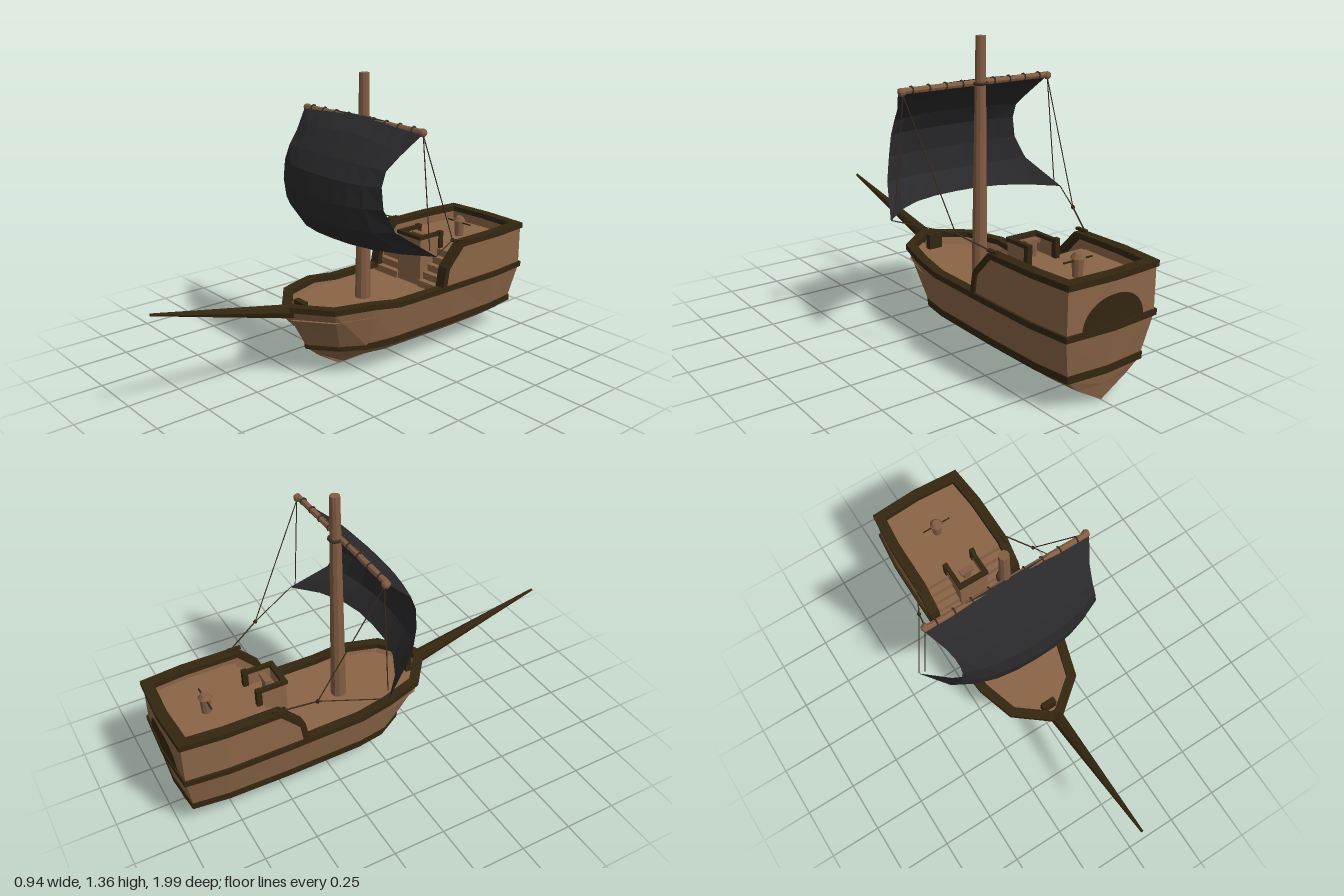
import * as THREE from 'three';

const mat = (name, color, side = THREE.FrontSide) => {
  const m = new THREE.MeshStandardMaterial({ color, side, flatShading: true });
  m.name = name;
  return m;
};
const V = (x, y, z) => new THREE.Vector3(x, y, z);
const mirror = (p) => V(-p.x, p.y, p.z);

// Surface through rows of points
function grid(rows) {
  const w = rows[0].length, pos = [], idx = [];
  rows.forEach((r) => r.forEach((p) => pos.push(p.x, p.y, p.z)));
  for (let i = 0; i < rows.length - 1; i++) {
    for (let j = 0; j < w - 1; j++) {
      const a = i * w + j, b = a + w;
      idx.push(a, a + 1, b + 1, a, b + 1, b);
    }
  }
  const g = new THREE.BufferGeometry();
  g.setAttribute('position', new THREE.Float32BufferAttribute(pos, 3));
  g.setIndex(idx);
  const flat = g.toNonIndexed();
  flat.computeVertexNormals();
  return flat;
}

// Rectangular moulding swept along a path, mitred at the corners
function band(path, out, inn, h, closed) {
  const n = path.length;
  const rows = path.map((p, i) => {
    const prev = closed ? path[(i + n - 1) % n] : path[Math.max(i - 1, 0)];
    const next = closed ? path[(i + 1) % n] : path[Math.min(i + 1, n - 1)];
    const t1 = p.clone().sub(prev).normalize(), t2 = next.clone().sub(p).normalize();
    const t = t1.add(t2).normalize();
    const side = V(t.z, 0, -t.x).normalize();
    const up = t.clone().cross(side);
    const d = next.clone().sub(p).setY(0).normalize();
    const cos = Math.max(0.6, d.lengthSq() ? Math.abs(d.x * side.z - d.z * side.x) : 1);
    return [[out, 0], [out, h], [-inn, h], [-inn, 0], [out, 0]].map(([s, u]) =>
      p.clone().addScaledVector(side, s / cos).addScaledVector(up, u));
  });
  if (closed) rows.push(rows[0]);
  return grid(rows);
}

// Flat deck from a half outline
function deckGeometry(half, y, scale) {
  const pts = [...half, ...half.slice().reverse().map(mirror)];
  const s = new THREE.Shape(pts.map((p) => new THREE.Vector2(p.x * scale, -p.z * scale)));
  return new THREE.ShapeGeometry(s).rotateX(-Math.PI / 2).translate(0, y, 0);
}

export function createModel() {
  const root = new THREE.Group();
  root.name = 'sailingShip';
  const wood = mat('plankWood', 0x8a6546, THREE.DoubleSide);
  const spar = mat('sparWood', 0x835d42);
  const dark = mat('darkTrim', 0x33260f, THREE.DoubleSide);
  const cloth = mat('blackSail', 0x29292b, THREE.DoubleSide);
  const rope = mat('rope', 0x3a2c20);

  const add = (name, geo, m, parent = root) => {
    const mesh = new THREE.Mesh(geo, m);
    mesh.name = name;
    parent.add(mesh);
    return mesh;
  };
  const box = (name, x0, x1, y0, y1, z0, z1, m) =>
    add(name, new THREE.BoxGeometry(x1 - x0, y1 - y0, z1 - z0)
      .translate((x0 + x1) / 2, (y0 + y1) / 2, (z0 + z1) / 2), m);
  const rod = (name, a, b, ra, rb, sides, m) => {
    const d = b.clone().sub(a);
    const mesh = add(name, new THREE.CylinderGeometry(rb, ra, d.length(), sides), m);
    mesh.position.copy(a).add(b).multiplyScalar(0.5);
    mesh.quaternion.setFromUnitVectors(V(0, 1, 0), d.normalize());
    return mesh;
  };
  const bothSides = (name, geo, m) => {
    add(name + 'Left', geo, m);
    add(name + 'Right', geo, m).scale.x = -1;
  };

  // Hull: waterlines from stern centre, along one side, to the stem
  const line = (y, pts) => pts.map(([x, z], i) => V(x, Array.isArray(y) ? y[i] : y, z));
  const keel = line(0, [-0.93, -0.92, -0.78, -0.5, -0.13, -0.05, 0, 0.03, 0.03].map((z) => [0, z]));
  const chine = line(0.075, [[0, -0.945], [0.13, -0.93], [0.145, -0.78], [0.15, -0.5],
    [0.145, -0.13], [0.12, -0.02], [0.06, 0.07], [0.01, 0.14], [0, 0.15]]);
  const wale = line(0.13, [[0, -0.955], [0.19, -0.94], [0.21, -0.78], [0.215, -0.5],
    [0.21, -0.13], [0.19, 0], [0.12, 0.12], [0.02, 0.205], [0, 0.215]]);
  const sheer = line([0.32, 0.32, 0.32, 0.32, 0.32, 0.342, 0.342, 0.342, 0.342],
    [[0, -0.985], [0.23, -0.97], [0.25, -0.78], [0.25, -0.5],
      [0.245, -0.13], [0.235, 0.02], [0.18, 0.2], [0.03, 0.32], [0, 0.33]]);
  bothSides('hull', grid(keel.map((_, i) => [keel[i], chine[i], wale[i], sheer[i]])), wood);
  const loop = (half) => [...half, ...half.slice(1, -1).reverse().map(mirror)];
  add('lowerWale', band(loop(wale), 0.01, 0.01, 0.032, true), dark);
  add('sheerRail', band(loop(sheer), 0.01, 0.035, 0.026, true), dark);
  add('mainDeck', deckGeometry(sheer, 0.3, 0.975), wood);

  // Raised stern: walls, sloping rail and deck
  const castleTop = [V(0, 0.525, -0.985), V(0.23, 0.525, -0.972), V(0.248, 0.525, -0.78),
    V(0.248, 0.525, -0.53), V(0.248, 0.43, -0.44), V(0.248, 0.34, -0.425)];
  bothSides('sternWall', grid(castleTop.map((p) => [p.clone().setY(0.32), p])), wood);
  add('sternRail', band([...castleTop.slice(1).reverse().map(mirror), ...castleTop],
    0.009, 0.042, 0.026, false), dark);
  add('sternDeck', deckGeometry([...castleTop.slice(0, 3), V(0.248, 0, -0.56)], 0.47, 0.985), wood);

  // Dark arch on the transom, following its slight bend
  const arch = new THREE.Shape();
  arch.moveTo(0, 0);
  arch.lineTo(0.16, 0);
  arch.absellipse(0, 0, 0.16, 0.125, 0, Math.PI / 2, false, 0);
  const archGeo = new THREE.ShapeGeometry(arch, 6).translate(0, 0.345, 0);
  const ap = archGeo.attributes.position;
  for (let i = 0; i < ap.count; i++) ap.setZ(i, -0.989 + ap.getX(i) * 0.0565);
  archGeo.computeVertexNormals();
  bothSides('transomArch', archGeo, dark);

  // Twin stairs beside the helm platform
  for (const s of [-1, 1]) {
    for (let i = 0; i < 5; i++) {
      const a = s * 0.075, b = s * 0.238;
      box('stairStep', Math.min(a, b), Math.max(a, b), 0.29, 0.334 + 0.034 * i,
        -0.57, -0.41 - 0.031 * i, wood);
    }
    box('helmSideWall', s * 0.072 - 0.006, s * 0.072 + 0.006, 0.3, 0.535, -0.55, -0.42, wood);
    box('helmSideRail', s * 0.072 - 0.01, s * 0.072 + 0.01, 0.535, 0.552, -0.56, -0.415, dark);
    box('helmPost', s * 0.075 - 0.012, s * 0.075 + 0.012, 0.46, 0.555, -0.565, -0.54, dark);
  }
  box('helmPlatform', -0.07, 0.07, 0.3, 0.47, -0.57, -0.425, wood);
  box('helmFrontWall', -0.078, 0.078, 0.3, 0.535, -0.432, -0.42, wood);
  box('helmFrontRail', -0.08, 0.08, 0.535, 0.552, -0.437, -0.412, dark);
  box('helmStand', -0.02, 0.02, 0.47, 0.53, -0.495, -0.475, spar);
  box('helmTop', -0.036, 0.036, 0.53, 0.545, -0.5, -0.47, spar);

  // Capstan
  add('capstanDrum', new THREE.CylinderGeometry(0.026, 0.022, 0.08, 10).translate(0, 0.51, -0.77), spar);
  add('capstanCap', new THREE.CylinderGeometry(0.016, 0.032, 0.022, 10).translate(0, 0.56, -0.77), spar);
  rod('capstanBar', V(-0.075, 0.54, -0.77), V(0.075, 0.54, -0.77), 0.004, 0.004, 6, dark);

  // Bowsprit, stem block and bitt
  rod('bowsprit', V(0, 0.335, 0.3), V(0, 0.505, 0.998), 0.034, 0.006, 8, dark);
  rod('stemBlock', V(0, 0.265, 0.285), V(0, 0.335, 0.32), 0.008, 0.03, 4, wood);
  box('bowBitt', -0.035, 0.035, 0.3, 0.372, 0.235, 0.265, dark);

  // Mast and yard
  rod('mast', V(0, 0.295, -0.12), V(0, 1.36, -0.12), 0.037, 0.023, 10, spar);
  rod('yard', V(-0.4, 1.155, -0.1), V(0.4, 1.155, -0.1), 0.014, 0.014, 8, spar);
  add('yardCollar', new THREE.TorusGeometry(0.03, 0.007, 5, 10).rotateX(Math.PI / 2)
    .translate(0, 1.155, -0.12), rope);
  for (let i = -4; i <= 4; i++) {
    if (i) add('sailLashing', new THREE.TorusGeometry(0.015, 0.004, 5, 8).rotateY(Math.PI / 2)
      .translate(i * 0.085, 1.157, -0.1), rope);
  }

  // Billowing sail: edge x, y, z then centre y, z for each row
  const sailRows = [
    [0.405, 1.155, -0.1, 1.172, -0.1], [0.355, 1.06, -0.01, 1.11, -0.005],
    [0.335, 1.0, 0.05, 1.01, 0.08], [0.337, 0.935, 0.075, 0.93, 0.13],
    [0.35, 0.84, 0.075, 0.825, 0.145], [0.385, 0.74, 0.035, 0.72, 0.13],
    [0.47, 0.62, -0.13, 0.628, 0.065],
  ];
  add('sail', grid(sailRows.map(([ex, ey, ez, cy, cz]) => {
    const row = [];
    for (let i = -4; i <= 4; i++) {
      const s = i / 4, k = Math.abs(s) ** 2.6;
      row.push(V(s * ex, cy + (ey - cy) * k, cz + (ez - cz) * k));
    }
    return row;
  })), cloth);

  // Running lines and blocks on each side
  for (const s of [-1, 1]) {
    const tip = V(s * 0.388, 1.14, -0.11), clew = V(s * 0.465, 0.622, -0.13);
    const block = V(s * 0.318, 0.605, -0.385), cleat = V(s * 0.24, 0.552, -0.55);
    rod('clewLine', tip, V(s * 0.44, 0.645, -0.115), 0.0025, 0.0025, 5, rope);
    rod('brace', tip, block, 0.0025, 0.0025, 5, rope);
    rod('sheet', clew, block, 0.0025, 0.0025, 5, rope);
    rod('sheetTail', block, cleat, 0.0035, 0.0035, 5, rope);
    add('block', new THREE.SphereGeometry(0.01, 6, 5).translate(block.x, block.y, block.z), dark);
    add('yardKnob', new THREE.SphereGeometry(0.019, 8, 6).translate(s * 0.39, 1.152, -0.105), spar);
    box('cleat', cleat.x - 0.008, cleat.x + 0.008, 0.548, 0.56, -0.56, -0.5, dark);
  }
  return root;
}
